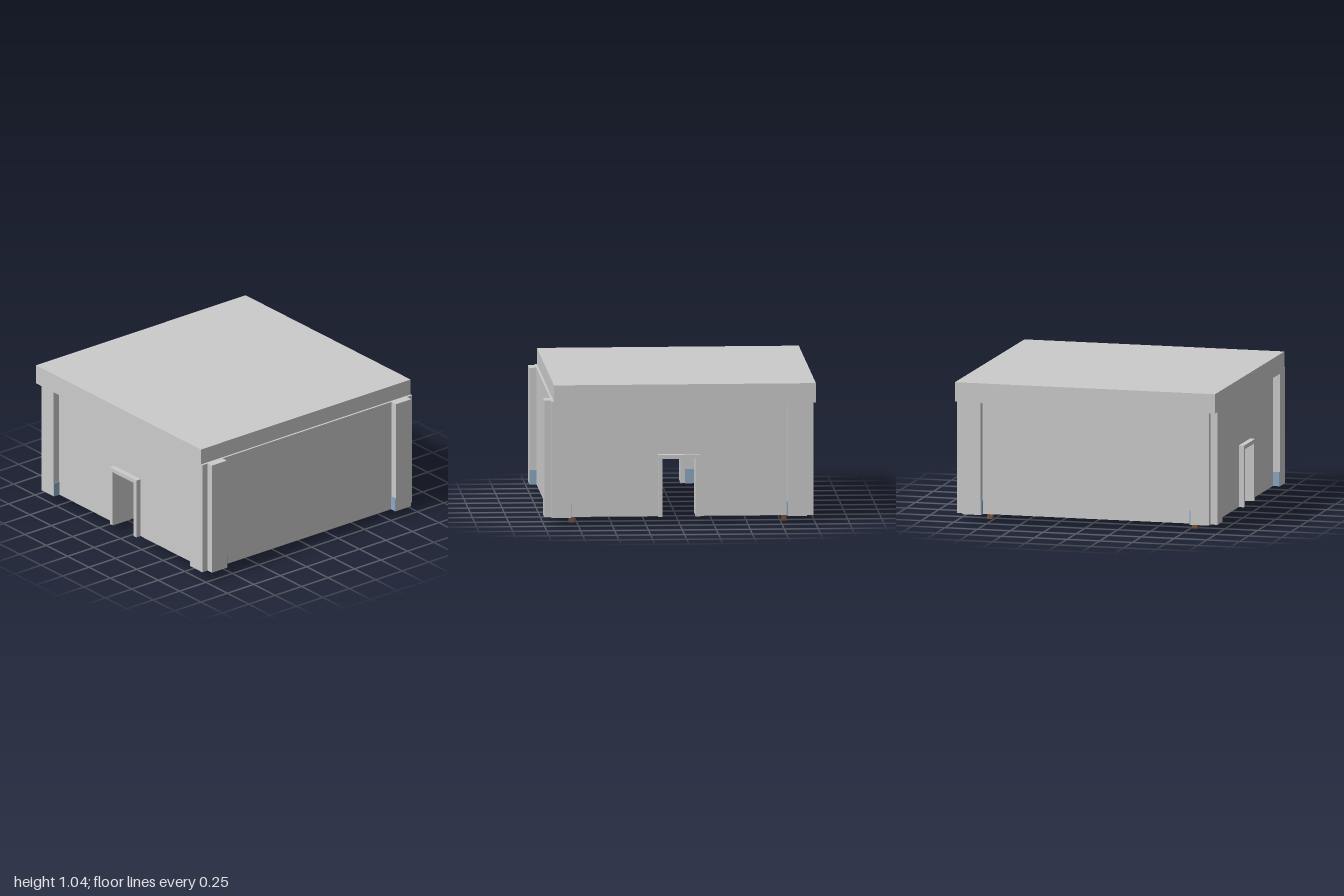
import * as THREE from 'three';

export function createModel() {
  const model = new THREE.Group();
  const body = new THREE.Group();
  body.name = 'body';
  body.position.x = 0.006;
  model.add(body);

  const grey = new THREE.MeshStandardMaterial({ color: 0xcccccc });
  const blue = new THREE.MeshStandardMaterial({ color: 0x8da8c2 });
  const wood = new THREE.MeshStandardMaterial({ color: 0x7a5038 });

  // Box given by its minimum and maximum corners
  const box = (name, mat, [x0, y0, z0], [x1, y1, z1], parent = body) => {
    const mesh = new THREE.Mesh(new THREE.BoxGeometry(x1 - x0, y1 - y0, z1 - z0), mat);
    mesh.position.set((x0 + x1) / 2, (y0 + y1) / 2, (z0 + z1) / 2);
    mesh.name = name;
    parent.add(mesh);
  };
  // Arch-shaped panel with a door opening cut from its bottom edge
  const arch = (name, halfW, top, holeW, holeTop, z0, z1, parent) => {
    const pts = [[-halfW, base], [-holeW, base], [-holeW, holeTop], [holeW, holeTop],
      [holeW, base], [halfW, base], [halfW, top], [-halfW, top]];
    const shape = new THREE.Shape(pts.map(p => new THREE.Vector2(...p)));
    const mesh = new THREE.Mesh(
      new THREE.ExtrudeGeometry(shape, { depth: z1 - z0, bevelEnabled: false }), grey);
    mesh.position.z = z0;
    mesh.name = name;
    parent.add(mesh);
  };

  const base = 0.06, top = 0.925;   // wall bottom and top
  const inner = 0.785, outer = 0.94; // wall faces
  const pillarIn = 0.80, pillarOut = 0.992;
  const skirt = 0.165;              // top of the blue skirting

  // Roof slab, set slightly towards the right side
  box('roof', grey, [-1, 0.9, -0.992], [0.93, 1.045, 0.992], model);

  // Front and back walls with doorways, frames and skirting
  for (const turn of [0, Math.PI]) {
    const side = new THREE.Group();
    side.name = turn ? 'backWall' : 'frontWall';
    side.rotation.y = turn;
    body.add(side);
    arch('doorWall', outer, top, 0.14, 0.505, inner, outer, side);
    arch('doorFrame', 0.155, 0.52, 0.122, 0.49, inner - 0.003, 0.98, side);
    for (const s of [-1, 1]) {
      const [a, b] = [0.155 * s, inner * s].sort((p, q) => p - q);
      box('innerSkirting', blue, [a, base, inner - 0.008], [b, skirt, inner], side);
    }
  }

  // Side walls with skirting
  for (const s of [-1, 1]) {
    const span = (a, b) => (s > 0 ? [a, b] : [-b, -a]);
    const [w0, w1] = span(inner, outer);
    box('sideWall', grey, [w0, base, -outer], [w1, top, outer]);
    const [k0, k1] = span(inner - 0.008, inner);
    box('innerSkirting', blue, [k0, base, -inner], [k1, skirt, inner]);
  }

  // Corners: crossed pillars, skirting on their sides, and timber posts
  for (const sx of [-1, 1]) for (const sz of [-1, 1]) {
    const corner = (name, mat, x0, x1, z0, z1, y0, y1) => {
      const [a, b] = sx > 0 ? [x0, x1] : [-x1, -x0];
      const [c, d] = sz > 0 ? [z0, z1] : [-z1, -z0];
      box(name, mat, [a, y0, c], [b, y1, d]);
    };
    corner('pillar', grey, pillarIn, outer + 0.002, 0.9, pillarOut, base, top);
    corner('pillar', grey, 0.9, pillarOut, pillarIn, outer + 0.002, base, top);
    corner('pillarSkirting', blue, pillarIn - 0.006, pillarIn, 0.9, pillarOut - 0.001, base, skirt);
    corner('pillarSkirting', blue, 0.9, pillarOut - 0.001, pillarIn - 0.006, pillarIn, base, skirt);
    corner('post', wood, 0.762, 0.802, 0.762, 0.802, 0, 0.9);
  }

  // Timber ceiling frame and rafters
  const beamY = 0.865;
  for (const s of [-1, 1]) {
    const c = 0.782 * s;
    box('frameBeam', wood, [-0.782, beamY, c - 0.02], [0.782, 0.9, c + 0.02]);
    box('frameBeam', wood, [c - 0.02, beamY, -0.782], [c + 0.02, 0.9, 0.782]);
  }
  for (const x of [-0.52, 0, 0.52]) {
    box('rafter', wood, [x - 0.02, beamY, -0.77], [x + 0.02, 0.9, 0.77]);
  }

  return model;
}
